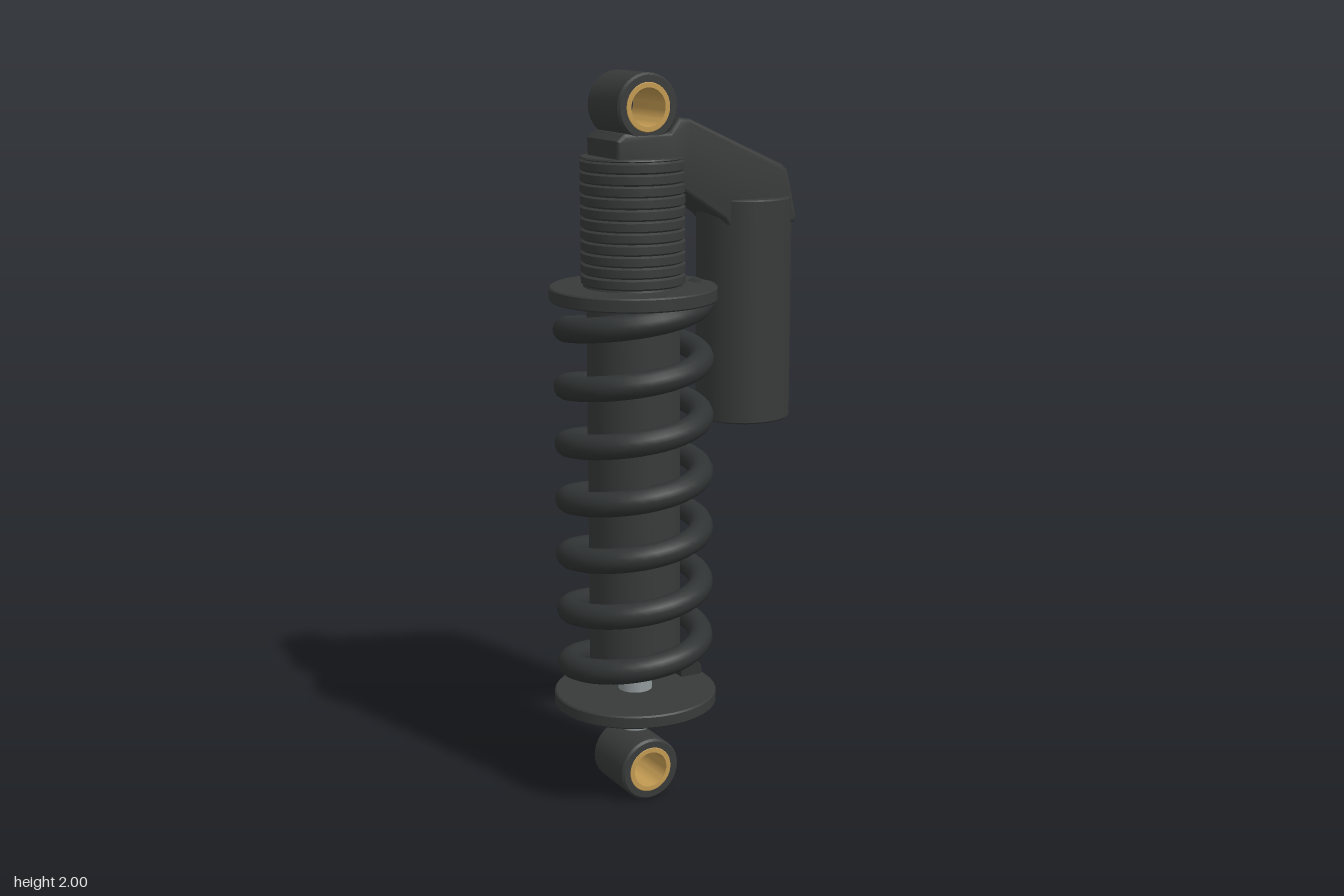
import * as THREE from 'three';
import { toCreasedNormals } from 'three/addons/utils/BufferGeometryUtils.js';

const AXIS = -0.125; // x of the damper's centre line
const mat = (color) => new THREE.MeshStandardMaterial({ color });

export function createModel() {
  const group = new THREE.Group();
  const dark = mat(0x383a3a), coilDark = mat(0x303333);
  const gold = mat(0xc29a52), red = mat(0xb22d38), steel = mat(0x929a9b);

  const add = (name, geometry, material, x = AXIS, y = 0, z = 0) => {
    const mesh = new THREE.Mesh(geometry, material);
    mesh.name = name;
    mesh.position.set(x, y, z);
    group.add(mesh);
    return mesh;
  };
  const lathe = (points, sides = 40) => toCreasedNormals(
    new THREE.LatheGeometry(points.map(([r, y]) => new THREE.Vector2(r, y)), sides), 0.6);
  // Solid cylinder between two heights with a small chamfer
  const rod = (r, y0, y1, c = 0.004, sides = 40) => lathe([
    [0, y0], [r - c, y0], [r, y0 + c], [r, y1 - c], [r - c, y1], [0, y1]], sides);
  // Hollow ring lying along z
  const ring = (inner, outer, half, c) => lathe([
    [inner, -half], [outer - c, -half], [outer, -half + c],
    [outer, half - c], [outer - c, half], [inner, half], [inner, -half]], 36).rotateX(Math.PI / 2);

  // Mounting eyes with bushings
  for (const [name, y] of [['lower', 0.09], ['upper', 1.912]]) {
    add(name + 'Eye', ring(0.064, 0.088, 0.088, 0.006), dark, AXIS, y);
    add(name + 'Bushing', ring(0.05, 0.0645, 0.0885, 0.002), gold, AXIS, y);
  }

  // Shaft, damper tube and spring seats
  add('shaft', rod(0.047, 0.19, 0.42), steel);
  add('damperTube', rod(0.125, 0.385, 1.46), dark);
  add('lowerSpringSeat', rod(0.225, 0.27, 0.306), dark);
  add('upperSpringSeat', rod(0.225, 1.402, 1.44), dark);

  // Threaded collar: wide ridges separated by narrow grooves
  const thread = [[0, 1.42], [0.139, 1.42]];
  const ridges = 11, pitch = 0.03;
  for (let i = 0; i < ridges; i++) {
    const y = 1.445 + i * pitch;
    thread.push([0.132, y], [0.139, y + 0.005], [0.139, y + pitch - 0.005]);
  }
  thread.push([0.132, 1.775], [0.139, 1.778], [0.137, 1.782], [0, 1.782]);
  add('threadedCollar', lathe(thread), dark);

  // Coil spring
  class Helix extends THREE.Curve {
    getPoint(t, target = new THREE.Vector3()) {
      const a = t * 7 * Math.PI * 2;
      return target.set(0.182 * Math.cos(a), 0.318 + 1.095 * t, -0.182 * Math.sin(a));
    }
  }
  const coil = new Helix();
  add('spring', new THREE.TubeGeometry(coil, 260, 0.034, 14), coilDark);
  for (const t of [0, 1]) {
    const p = coil.getPoint(t);
    const cap = new THREE.CircleGeometry(0.034, 14);
    if (t === 0) cap.rotateY(0); // spring begins heading to -z, so its cap faces +z
    else cap.rotateY(Math.PI);
    add('springEnd', cap, coilDark, AXIS + p.x, p.y, p.z);
  }

  // Rebound adjuster knob
  add('adjusterKnob', rod(0.048, -0.031, 0.031, 0.003, 12).rotateZ(Math.PI / 2), red, -0.02, 0.222);

  // Reservoir and the bridge that carries it
  add('reservoir', rod(0.13, 1.05, 1.66), dark, 0.218);
  const outline = [
    [-0.215, 1.76], [-0.216, 1.828], [-0.195, 1.846], [-0.06, 1.846], [-0.035, 1.882],
    [0.0, 1.878], [0.285, 1.748], [0.303, 1.732], [0.333, 1.605], [0.325, 1.59],
    [0.12, 1.59], [0.105, 1.61], [-0.02, 1.69], [-0.1, 1.72]];
  const shape = new THREE.Shape(outline.map(([x, y]) => new THREE.Vector2(x, y)));
  const bevel = 0.01;
  const bridge = new THREE.ExtrudeGeometry(shape, {
    depth: 0.178 - 2 * bevel, bevelSize: bevel, bevelThickness: bevel, bevelOffset: -bevel, bevelSegments: 3,
  }).translate(0, 0, -0.089 + bevel);
  add('bridge', toCreasedNormals(bridge, 0.6), dark, 0);

  return group;
}
